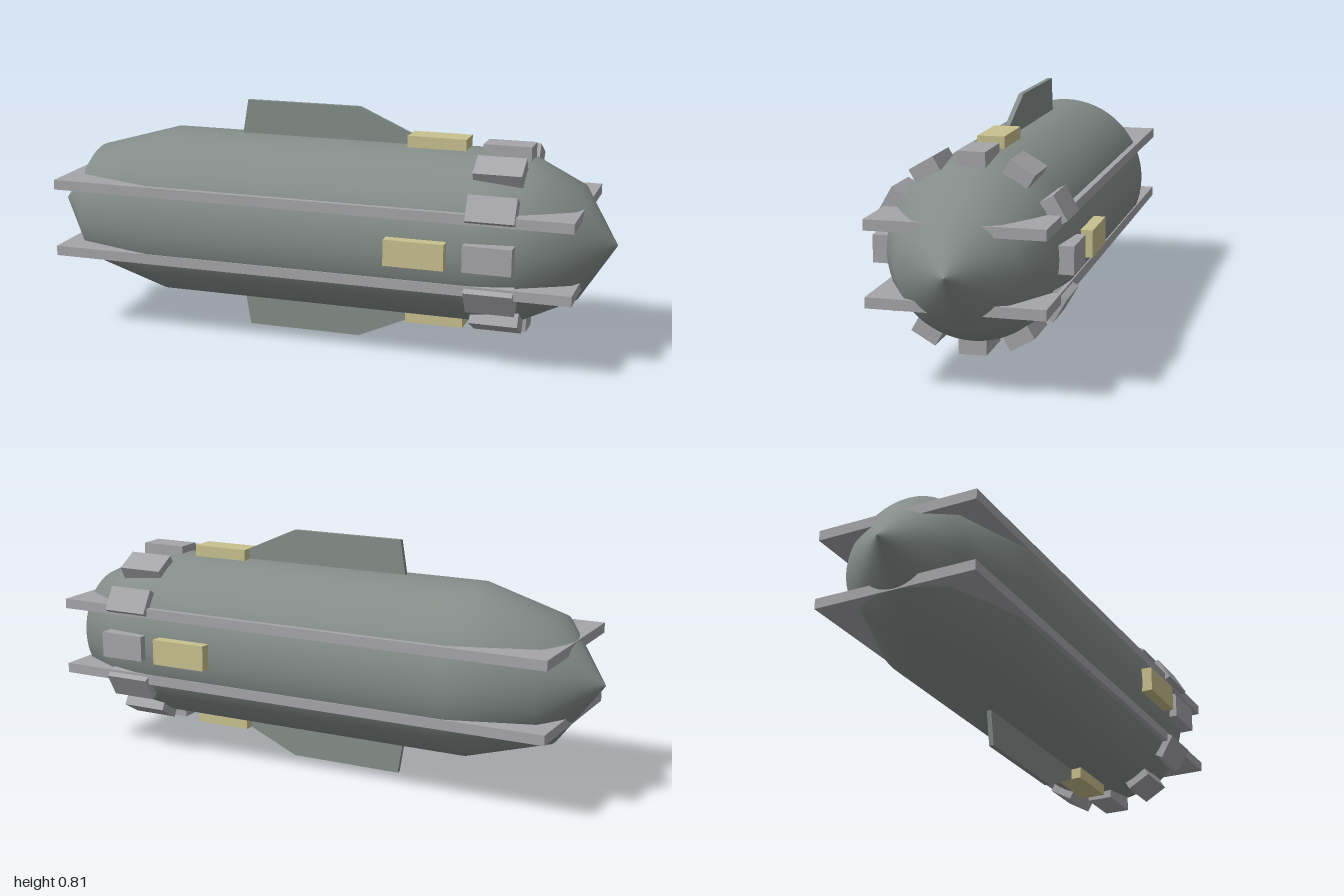
import * as THREE from 'three';

const AXIS_Y = 0.405; // height of the hull's long axis

export function createModel() {
  const model = new THREE.Group();
  model.name = 'airshipHull';

  const hullGrey = new THREE.MeshStandardMaterial({ color: 0x848d89, side: THREE.DoubleSide });
  hullGrey.name = 'hull grey';
  const lightGrey = new THREE.MeshStandardMaterial({ color: 0xa6a6aa });
  lightGrey.name = 'light grey';
  const paleYellow = new THREE.MeshStandardMaterial({ color: 0xc8c08e });
  paleYellow.name = 'pale yellow';

  const body = new THREE.Group();
  body.name = 'body';
  body.position.y = AXIS_Y;
  model.add(body);

  function add(name, geometry, material, parent = body) {
    const mesh = new THREE.Mesh(geometry, material);
    mesh.name = name;
    parent.add(mesh);
    return mesh;
  }

  // Hull: a turned profile (radius, position along x)
  const profile = [
    [0, -1], [0.21, -0.84], [0.29, -0.56], [0.29, 0.56],
    [0.27, 0.715], [0.19, 0.88], [0, 1],
  ].map(([r, x]) => new THREE.Vector2(r, x));
  add('hull', new THREE.LatheGeometry(profile, 64).rotateZ(-Math.PI / 2), hullGrey);

  // Two long horizontal plates running through the hull
  for (const side of [1, -1]) {
    const plate = add('sidePlate', new THREE.BoxGeometry(1.8, 0.034, 0.552), lightGrey);
    plate.position.y = side * 0.118;
  }

  // Ring of twelve blocks around the tail
  for (let i = 0; i < 12; i++) {
    const spoke = new THREE.Group();
    spoke.name = 'tailBlockMount';
    spoke.rotation.x = (i * Math.PI) / 6;
    body.add(spoke);
    const block = add('tailBlock', new THREE.BoxGeometry(0.16, 0.07, 0.088), lightGrey, spoke);
    block.position.set(0.635, 0.28, 0);

    // Every third spoke also carries a yellow box
    if (i % 3 === 0) {
      const box = add('yellowBox', new THREE.BoxGeometry(0.2, 0.065, 0.087), paleYellow, spoke);
      box.position.set(0.398, 0.2925, 0);
    }
  }

  // Thin upright fins above and below
  const outline = [
    [-0.31, 0.25], [-0.3, 0.295], [-0.282, 0.405], [0.12, 0.405], [0.3, 0.325], [0.3, 0.25],
  ].map(([x, y]) => new THREE.Vector2(x, y));
  const finGeometry = new THREE.ExtrudeGeometry(new THREE.Shape(outline), {
    depth: 0.016, bevelEnabled: false,
  }).translate(0, 0, -0.008);
  for (const [name, angle] of [['upperFin', 0], ['lowerFin', Math.PI]]) {
    add(name, finGeometry, hullGrey).rotation.x = angle;
  }

  return model;
}
